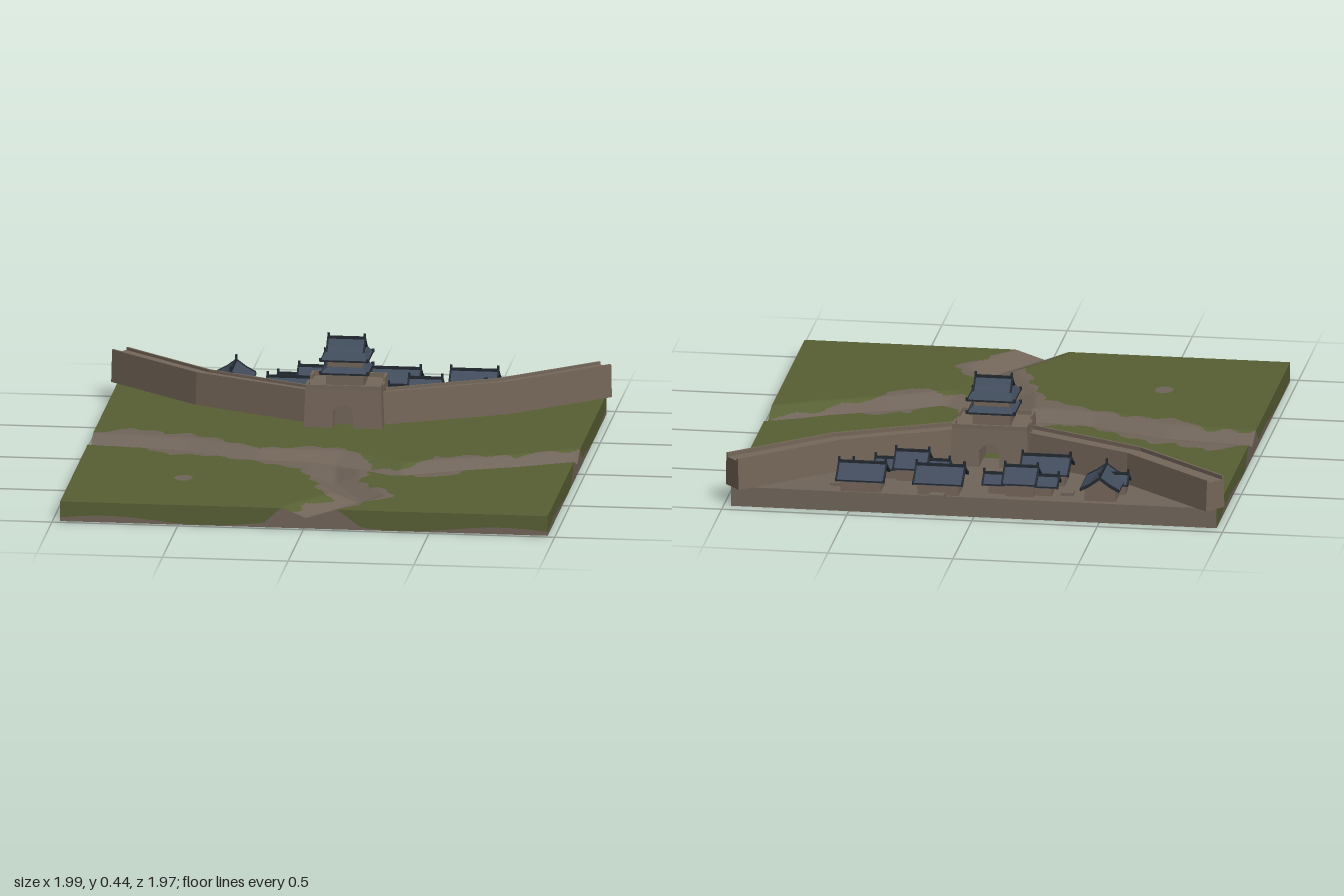
import * as THREE from 'three';

const mat = (name, color, side = THREE.FrontSide) => {
  const m = new THREE.MeshStandardMaterial({ color, side });
  m.name = name;
  return m;
};
const D = THREE.DoubleSide;

export function createModel() {
  const grass = mat('grass', 0x586034, D), earth = mat('earth', 0x71655a, D);
  const stone = mat('stone', 0x75675a, D), slate = mat('slate', 0x414c5c, D);
  const trim = mat('darkTrim', 0x242a32), plaster = mat('plaster', 0x74665a);
  const model = new THREE.Group();
  const G = 0.08; // ground level

  const add = (parent, name, geo, m, x = 0, y = 0, z = 0) => {
    const mesh = new THREE.Mesh(geo, m);
    mesh.name = name;
    mesh.position.set(x, y, z);
    parent.add(mesh);
    return mesh;
  };
  const box = (p, name, m, w, h, d, x, y, z) => add(p, name, new THREE.BoxGeometry(w, h, d), m, x, y, z);
  const group = (name, x, y, z, turn = 0) => {
    const g = new THREE.Group();
    g.name = name;
    g.position.set(x, y, z);
    g.rotation.y = turn;
    model.add(g);
    return g;
  };
  // block whose top is resized to w1 x d1
  const frustum = (w, d, w1, d1, h) => {
    const geo = new THREE.BoxGeometry(w, h, d), p = geo.attributes.position;
    for (let i = 0; i < p.count; i++) if (p.getY(i) > 0) {
      p.setX(i, Math.sign(p.getX(i)) * w1 / 2);
      p.setZ(i, Math.sign(p.getZ(i)) * d1 / 2);
    }
    geo.computeVertexNormals();
    return geo;
  };

  // ---- Ground: grass with sunken earth tracks, open underneath
  const track = [[-.98, -.12], [-.8, -.2], [-.69, -.14], [-.58, -.14], [-.45, -.06], [-.29, .04], [-.19, .03], [-.11, 0],
    [-.02, 0], [.06, .03], [.14, .13], [.18, .21], [.27, .25], [.35, .23], [.42, .11], [.54, .07], [.73, .05], [.81, -.02],
    [.98, -.09], [.98, .02], [.86, .11], [.73, .18], [.57, .29], [.46, .43], [.33, .4], [.19, .36], [.17, .51], [.24, .6],
    [.34, .72], [.25, .82], [.19, .91], [.13, .99], [-.06, .99], [0, .86], [.1, .78], [.02, .67], [-.02, .51], [-.1, .35],
    [-.25, .27], [-.45, .19], [-.64, .18], [-.77, .08], [-.98, .07]];
  const town = [[-1, -.98], [-.595, -.64], [-.155, -.43], [.155, -.43], [.595, -.64], [1, -.98]];
  const centres = [
    [[-.97, -.02], [-.6, .02], [-.3, .14], [.02, .15], [.3, .32], [.5, .22], [.75, .12], [.97, .01]],
    [[.02, .15], [.06, .45], [.19, .72], [.01, .98]]];
  const inside = (poly, x, z) => {
    let hit = false;
    poly.forEach(([ax, az], i) => {
      const [bx, bz] = poly[(i + 1) % poly.length];
      if ((az > z) !== (bz > z) && x < ax + (bx - ax) * (z - az) / (bz - az)) hit = !hit;
    });
    return hit;
  };
  const trackDistance = (x, z) => {
    let best = 9;
    for (const line of centres) for (let i = 1; i < line.length; i++) {
      const [ax, az] = line[i - 1], dx = line[i][0] - ax, dz = line[i][1] - az;
      const t = THREE.MathUtils.clamp(((x - ax) * dx + (z - az) * dz) / (dx * dx + dz * dz), 0, 1);
      best = Math.min(best, Math.hypot(x - ax - t * dx, z - az - t * dz));
    }
    return best;
  };
  const height = (x, z) => G - 0.038 * Math.max(0, 1 - trackDistance(x, z) / 0.095);
  const isEarth = (x, z) => {
    const wx = x + .012 * Math.sin(z * 52 + x * 9), wz = z + .012 * Math.sin(x * 47 + z * 13);
    return inside(town, x, z) || inside(track, wx, wz) || Math.hypot(x + .53, (z - .55) * .8) < .036;
  };
  const N = 160, X0 = -.97, X1 = .97, Z0 = -.95, Z1 = .98, pos = [], green = [], brown = [];
  const gx = i => X0 + (X1 - X0) * i / N, gz = j => Z0 + (Z1 - Z0) * j / N;
  for (let j = 0; j <= N; j++) for (let i = 0; i <= N; i++) pos.push(gx(i), height(gx(i), gz(j)), gz(j));
  for (let j = 0; j < N; j++) for (let i = 0; i < N; i++) {
    const a = j * (N + 1) + i, c = a + N + 1;
    (isEarth(gx(i + .33), gz(j + .33)) ? brown : green).push(a, c, a + 1);
    (isEarth(gx(i + .67), gz(j + .67)) ? brown : green).push(a + 1, c, c + 1);
  }
  const land = new THREE.BufferGeometry();
  land.setAttribute('position', new THREE.Float32BufferAttribute(pos, 3));
  land.setIndex([...green, ...brown]);
  land.addGroup(0, green.length, 0);
  land.addGroup(green.length, brown.length, 1);
  land.computeVertexNormals();
  add(model, 'ground', land, [grass, earth]);

  // ---- Ground edges: a lower earth strip and an upper grass strip on each side
  const strip = (name, m, at, lo, hi) => {
    const v = [], idx = [];
    for (let i = 0; i <= N; i++) {
      const [x, z] = at(i / N);
      v.push(x, lo(i / N), z, x, hi(i / N), z);
      if (i < N) idx.push(2 * i, 2 * i + 2, 2 * i + 1, 2 * i + 1, 2 * i + 2, 2 * i + 3);
    }
    const geo = new THREE.BufferGeometry();
    geo.setAttribute('position', new THREE.Float32BufferAttribute(v, 3));
    geo.setIndex(idx);
    geo.computeVertexNormals();
    add(model, name, geo, m);
  };
  const W = X1 - X0, L = Z1 - Z0;
  const edges = [
    ['front', t => [X0 + W * t, Z1], t => [0, Z1, X0 + W * t]],
    ['left', t => [X1, Z1 - L * t]], ['back', t => [X1 - W * t, Z0]], ['right', t => [X0, Z0 + L * t]]];
  for (const [name, at] of edges) {
    const top = t => height(...at(t));
    const seam = t => {
      const [x, z] = at(t), d = trackDistance(x, z);
      const low = Math.max(0.002, 0.014 + 0.013 * Math.sin(x * 8 + z * 7 + 1));
      return name === 'back' ? top(t) : Math.min(top(t), Math.max(low, (0.19 - d) * 0.9));
    };
    strip(name + 'EarthEdge', earth, at, () => 0, seam);
    if (name !== 'back') strip(name + 'GrassEdge', grass, at, seam, top);
  }

  // ---- City walls: battered section with parapets, swept along a bent line
  const section = [[.048, G], [.043, .212], [.034, .212], [.034, .196], [-.034, .196], [-.034, .207], [-.043, .207], [-.048, G]];
  const cap = THREE.ShapeUtils.triangulateShape(section.map(p => new THREE.Vector2(...p)), []);
  for (const s of [-1, 1]) {
    const line = [[-.965, -.955], [-.595, -.64], [-.13, -.42]];
    const dirs = [0, 1].map(i => new THREE.Vector2(line[i + 1][0] - line[i][0], line[i + 1][1] - line[i][1]).normalize());
    const rings = line.map(([x, z], i) => {
      const a = dirs[Math.max(0, i - 1)], b = dirs[Math.min(1, i)];
      const n = new THREE.Vector2(-a.y - b.y, a.x + b.x).normalize();
      return section.map(([o, y]) => [s * (x + n.x * o), y, z + n.y * o]);
    });
    const v = [];
    for (let r = 0; r < 2; r++) section.forEach((_, k) => {
      const q = (k + 1) % section.length, [a, b, c, d] = [rings[r][k], rings[r + 1][k], rings[r + 1][q], rings[r][q]];
      for (const p of s > 0 ? [a, c, b, a, d, c] : [a, b, c, a, c, d]) v.push(...p);
    });
    for (const tri of cap) for (const k of s > 0 ? tri : [...tri].reverse()) v.push(...rings[0][k]);
    const geo = new THREE.BufferGeometry();
    geo.setAttribute('position', new THREE.Float32BufferAttribute(v, 3));
    geo.computeVertexNormals();
    add(model, s > 0 ? 'leftCityWall' : 'rightCityWall', geo, stone);
  }

  // ---- Gatehouse base with an arched passage
  const gate = group('gatehouse', 0, G, -.428);
  const outline = new THREE.Shape();
  outline.moveTo(-.156, 0).lineTo(-.04, 0).lineTo(-.04, .052);
  outline.absarc(0, .052, .04, Math.PI, 0, true);
  outline.lineTo(.04, 0).lineTo(.156, 0).lineTo(.15, .153).lineTo(-.15, .153);
  const base = new THREE.ExtrudeGeometry(outline, { depth: .245, bevelEnabled: false, curveSegments: 10 }).translate(0, 0, -.1225);
  const bp = base.attributes.position;
  for (let i = 0; i < bp.count; i++) bp.setZ(i, bp.getZ(i) * (1 - .5 * bp.getY(i)));
  base.computeVertexNormals();
  add(gate, 'gateBase', base, stone);
  box(gate, 'gateDoor', plaster, .08, .092, .008, 0, .046, .06);
  for (const s of [-1, 1]) {
    box(gate, 'longParapet', stone, .3, .02, .01, 0, .16, s * .108);
    for (const e of [-1, 1]) box(gate, 'sideParapet', stone, .01, .02, .07, s * .145, .16, e * .075);
  }

  // ---- Gate tower: two storeys, a skirt roof and a hipped gable roof
  const tower = group('gateTower', 0, .233, -.428);
  box(tower, 'lowerStorey', plaster, .15, .06, .125, 0, .03, 0);
  box(tower, 'upperStorey', plaster, .14, .06, .11, 0, .085, 0);
  for (const [y, w1, d1, h] of [[.055, .145, .12, .02], [.108, .155, .115, .027]]) {
    box(tower, 'eaveBand', trim, .192, .007, .172, 0, y, 0);
    add(tower, 'skirtRoof', frustum(.188, .168, w1, d1, h), slate, 0, y + .003 + h / 2, 0);
    for (const a of [-1, 1]) for (const b of [-1, 1])
      box(tower, 'cornerHorn', trim, .012, .012, .012, a * .094, y + .005, b * .084);
  }
  // slate gable roof with ridge, verges and horns; ridge along x
  const gableRoof = (parent, w, d, rise, y, x = 0, z = 0, turn = 0) => {
    const roof = new THREE.Group(), t = .008, h = d / 2;
    roof.name = 'gableRoof';
    roof.position.set(x, y, z);
    roof.rotation.y = turn;
    parent.add(roof);
    const curve = [[-h, 0], [-h / 2, rise * .42], [0, rise], [h / 2, rise * .42], [h, 0]];
    const rim = (lift, thick) => new THREE.Shape([...curve.map(([a, b]) => new THREE.Vector2(a, b + lift)),
      ...[...curve].reverse().map(([a, b]) => new THREE.Vector2(a, b + lift - thick))]);
    const sweep = (name, shape, len, m, px) => add(roof, name,
      new THREE.ExtrudeGeometry(shape, { depth: len, bevelEnabled: false }).translate(0, 0, -len / 2).rotateY(Math.PI / 2), m, px);
    sweep('slates', rim(0, t), w, slate, 0);
    sweep('gableInfill', new THREE.Shape(curve.map(([a, b]) => new THREE.Vector2(a * .84, b * .92 - .002))), w * .84, plaster, 0);
    box(roof, 'ridge', trim, w, .011, .008, 0, rise + .003, 0);
    for (const s of [-1, 1]) {
      sweep('verge', rim(.004, t + .005), .007, trim, s * w / 2);
      box(roof, 'ridgeHorn', trim, .009, .018, .008, s * (w / 2 - .002), rise + .012, 0);
      box(roof, 'eave', trim, w, .005, .005, 0, -.003, s * h);
    }
  };
  gableRoof(tower, .148, .115, .047, .135);

  // ---- Town houses
  const house = (name, x, z, turn, parts, step) => {
    const g = group(name, x, G, z, turn);
    for (const [w, d, eave, rise, px = 0, pz = 0, spin = 0] of parts) {
      const body = box(g, 'houseWalls', plaster, w * .84, eave + .006, d * .8, px, eave / 2, pz);
      body.rotation.y = spin;
      gableRoof(g, w, d, rise, eave, px, pz, spin);
    }
    if (step) box(g, 'step', earth, step[0], .012, step[1], step[2], .006, step[3]);
  };
  const plain = [[.195, .165, .052, .05]];
  const winged = [[.135, .15, .056, .05], [.3, .09, .042, .03]];
  const corner = [[.19, .155, .052, .05], [.1, .085, .045, .03, .05, .045, Math.PI / 2]];
  house('plainHouseFront', -.25, -.685, 0, plain);
  house('plainHouseBack', .145, -.872, Math.PI, plain, [.06, .05, 0, .08]);
  house('wingedHouseRight', -.175, -.85, 0, winged, [.05, .045, -.185, 0]);
  house('wingedHouseLeft', .28, -.715, Math.PI, winged, [.05, .045, -.185, 0]);
  house('cornerHouseLeft', .455, -.88, 0, corner, [.04, .04, .11, .02]);
  house('cornerHouseRight', -.5, -.842, -Math.PI / 2, corner, [.04, .04, .11, .02]);
  return model;
}
